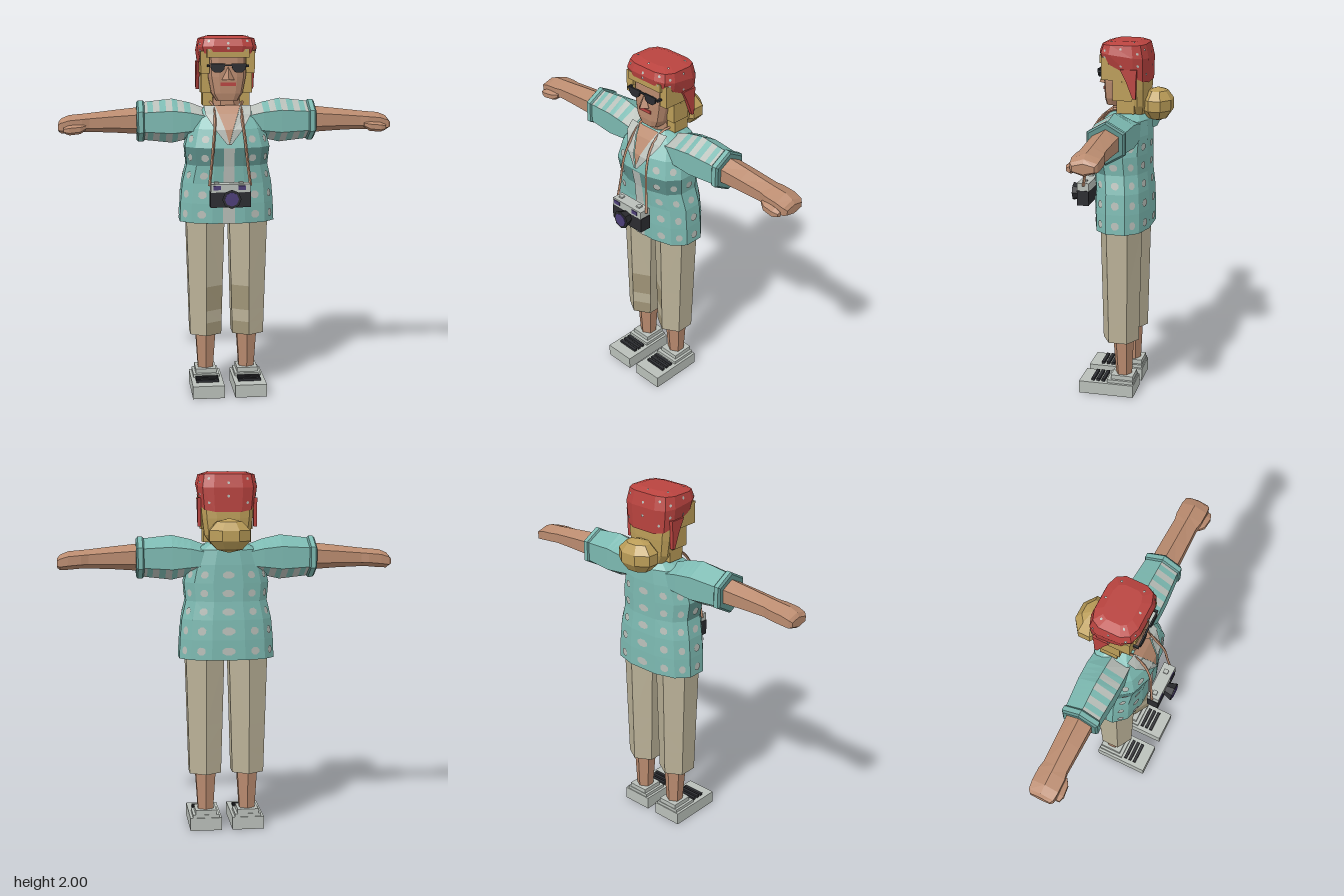
import * as THREE from 'three';

const hex = { teal: 0x7cb9b1, darkTeal: 0x5f928d, paleGrey: 0xb9bfb9, beige: 0xbbb298, darkBeige: 0xa09578,
  skin: 0xba8b6f, red: 0xb9433f, blonde: 0xbb9d58, black: 0x2b2c30, purple: 0x4c3e78 };
const V = (x, y, z) => new THREE.Vector3(x, y, z);

export function createModel() {
  const model = new THREE.Group();
  const mats = {};
  for (const k in hex) { mats[k] = new THREE.MeshStandardMaterial({ color: hex[k] }); mats[k].name = k; }

  // ---- helpers ----
  const add = (name, geo, color) => {
    const g = geo.index ? geo.toNonIndexed() : geo;
    g.computeVertexNormals();
    const m = new THREE.Mesh(g, mats[color]);
    m.name = name;
    model.add(m);
    return m;
  };
  const soup = (name, tris, color) => add(name, new THREE.BufferGeometry().setFromPoints(tris.flat()), color);
  const box = (name, color, x0, x1, y0, y1, z0, z1) => add(name, new THREE.BoxGeometry(Math.abs(x1 - x0), y1 - y0, z1 - z0)
    .translate((x0 + x1) / 2, (y0 + y1) / 2, (z0 + z1) / 2), color);

  // Closed skin over rings of points; pick(i, j) chooses the colour of each face
  const loft = (name, rings, color, pick = () => color) => {
    const parts = {}, n = rings[0].length;
    const put = (c, a, b, d) => (parts[c] ??= []).push([a, b, d]);
    for (let i = 0; i + 1 < rings.length; i++) for (let j = 0; j < n; j++) {
      const k = (j + 1) % n, [p, q] = [rings[i], rings[i + 1]], c = pick(i, j);
      put(c, p[j], q[j], q[k]);
      put(c, p[j], q[k], p[k]);
    }
    const a = rings[0], b = rings.at(-1);
    for (let j = 1; j + 1 < n; j++) { put(color, a[0], a[j], a[j + 1]); put(color, b[0], b[j + 1], b[j]); }
    const o = centre(a);
    let vol = 0;
    for (const t of Object.values(parts).flat()) {
      const [p, q, r] = t.map(v => v.clone().sub(o));
      vol += p.dot(q.cross(r));
    }
    for (const c in parts) soup(name, vol < 0 ? parts[c].map(t => [t[0], t[2], t[1]]) : parts[c], c);
    return rings;
  };
  const centre = r => r.reduce((s, v) => s.add(v), V(0, 0, 0)).divideScalar(r.length);
  const fan = (pts, out) => {
    const nrm = pts[1].clone().sub(pts[0]).cross(pts[2].clone().sub(pts[0]));
    if (nrm.dot(out) < 0) pts = [...pts].reverse();
    return pts.slice(2).map((p, i) => [pts[0], pts[i + 1], p]);
  };
  // Thin painted patch lying on face column u of band i of a loft
  const patch = (rings, i, u, v, du, dv, n = 8) => {
    const at = (u, v) => {
      const j = Math.floor(u), f = u - j, m = rings[i].length;
      const e = r => r[j % m].clone().lerp(r[(j + 1) % m], f);
      return e(rings[i]).lerp(e(rings[i + 1]), v);
    };
    const nrm = at(u + 0.1, v).sub(at(u, v)).cross(at(u, v + 0.1).sub(at(u, v))).normalize();
    const mid = centre(rings[i]).add(centre(rings[i + 1])).divideScalar(2);
    if (nrm.dot(at(u, v).sub(mid)) < 0) nrm.negate();
    const pts = Array.from({ length: n }, (_, k) => {
      const a = (k + 0.5) / n * Math.PI * 2, s = 1 / Math.cos(Math.PI / n);
      return at(u + du * s * Math.cos(a), v + dv * s * Math.sin(a)).addScaledVector(nrm, 0.005);
    });
    return fan(pts, nrm);
  };
  const pw = (t, e) => Math.sign(t) * Math.abs(t) ** e;
  // Rounded horizontal ring; [y, half width, front z, back z]
  const flatRing = ([y, rx, zf, zb], e = 0.8, n = 12, tilt = 0) => Array.from({ length: n }, (_, k) => {
    const a = (k + 0.5) / n * Math.PI * 2, z = (zf + zb) / 2 + (zf - zb) / 2 * 1.02 * pw(Math.sin(a), e);
    return V(rx * 1.02 * pw(Math.cos(a), e), y + tilt * (z - zf), z);
  });
  // Six-sided rings for legs (corners front and back) and arms (corners up and down)
  const legRing = (s, [y, cx, rx, zf, zb]) => Array.from({ length: 6 }, (_, k) => {
    const a = Math.PI / 2 + k * Math.PI / 3;
    return V(s * (cx + rx * Math.cos(a) / 0.866), y, (zf + zb) / 2 + (zf - zb) / 2 * Math.sin(a));
  });
  const armRing = (s, [x, cy, ry, rz, cz = -0.025]) => Array.from({ length: 6 }, (_, k) => {
    const a = Math.PI / 2 + k * Math.PI / 3;
    return V(s * x, cy + ry * Math.sin(a), cz + rz * Math.cos(a) / 0.866);
  });

  // ---- shirt ----
  const shirt = loft('shirt', [[0.98, 0.265, 0.135, -0.17], [1.09, 0.26, 0.138, -0.17], [1.2, 0.25, 0.135, -0.165],
    [1.3, 0.226, 0.145, -0.155], [1.4, 0.236, 0.165, -0.155], [1.5, 0.21, 0.14, -0.155], [1.58, 0.17, 0.09, -0.15],
    [1.62, 0.1, 0.05, -0.12]].map(r => flatRing(r)), 'teal', (i, j) => i === 3 && j < 6 ? 'darkTeal' : 'teal');
  const spots = [], placket = [];
  for (let i = 0; i < 5; i++) {
    if (i < 4) placket.push(...patch(shirt, i, 2.5, 0.5, 0.18, 0.5, 4));
    for (let j = 0; j < 12; j++) if (j !== 2) spots.push(...patch(shirt, i, j + 0.5, 0.45, 0.2, 0.19));
  }
  soup('shirtSpots', spots, 'paleGrey');
  soup('placket', placket, 'paleGrey');

  // Open neck and lapels: [y, z, inner half width, outer half width]
  const lapel = [[1.42, 0.163, 0, 0.012], [1.5, 0.15, 0.022, 0.075], [1.58, 0.102, 0.052, 0.125], [1.625, 0.06, 0.07, 0.13]];
  const chest = [], lapels = [];
  for (let i = 0; i < 3; i++) {
    const [[y0, z0, a0, b0], [y1, z1, a1, b1]] = [lapel[i], lapel[i + 1]], f = V(0, 0, 1);
    chest.push(...fan([V(-a1, y1, z1 + 0.006), V(-a0, y0, z0 + 0.006), V(a0 + 1e-4, y0, z0 + 0.006), V(a1, y1, z1 + 0.006)], f));
    for (const s of [-1, 1]) lapels.push(...fan([V(s * a0, y0, z0 + 0.01), V(s * b0, y0, z0 + 0.008),
      V(s * b1, y1, z1 + 0.003), V(s * a1, y1, z1 + 0.012)], f));
  }
  soup('chest', chest, 'skin');
  soup('lapels', lapels, 'paleGrey');
  loft('collar', [[1.58, 0.125, 0.04, -0.14], [1.635, 0.09, 0.03, -0.12]].map(r => flatRing(r)), 'paleGrey');

  // ---- head ----
  loft('neck', [[1.5, 0.085, 0.05, -0.11], [1.7, 0.075, 0.05, -0.1]].map(r => flatRing(r, 0.8, 8)), 'skin');
  loft('head', [[1.65, 0.06, 0.085, -0.05], [1.69, 0.085, 0.092, -0.08], [1.78, 0.103, 0.094, -0.1],
    [1.93, 0.108, 0.094, -0.11]].map(r => flatRing(r, 0.55)), 'skin');
  add('nose', new THREE.ConeGeometry(0.034, 0.07, 4).translate(0, 1.8, 0.1), 'skin');
  box('lips', 'red', -0.042, 0.042, 1.732, 1.75, 0.09, 0.099);
  loft('hair', [[1.61, 0.09, -0.03, -0.13], [1.66, 0.125, 0, -0.145], [1.75, 0.138, 0.015, -0.15],
    [1.92, 0.15, 0.04, -0.15]].map(r => flatRing(r, 0.6)), 'blonde');
  box('fringe', 'blonde', -0.115, 0.115, 1.885, 1.93, 0.06, 0.102);
  const bun = new THREE.SphereGeometry(1, 8, 5).rotateY(Math.PI / 8).scale(0.125, 0.092, 0.09).translate(0, 1.66, -0.193);
  add('bun', bun, 'blonde');

  // Headscarf sloping down to the back, with dots
  const scarf = loft('headscarf', [flatRing([1.915, 0.15, 0.105, -0.155], 0.55, 12, 0.5), flatRing([1.945, 0.163, 0.11, -0.157], 0.55, 12, 0.12),
    flatRing([1.985, 0.15, 0.095, -0.14], 0.55), flatRing([2, 0.1, 0.05, -0.1], 0.55), flatRing([2, 0.03, 0, -0.05], 0.55)], 'red');
  const dots = [];
  for (let i = 0; i < 4; i++) for (let j = 0; j < 12; j++) {
    if (i > 1 && (i + j) % 2) continue;
    const u = j + 0.5, v = (i + j) % 2 ? 0.35 : 0.65, m = new THREE.Vector3();
    const w = m.subVectors(scarf[i][j], scarf[i][(j + 1) % 12]).length();
    const h = m.subVectors(scarf[i][j], scarf[i + 1][j]).length();
    dots.push(...patch(scarf, i, u, v, Math.min(0.3, 0.007 / w), Math.min(0.3, 0.007 / h), 6)
      .map(t => t.map(p => V(p.x, Math.min(p.y, 2.003), p.z))));
  }
  soup('headscarfDots', dots, 'paleGrey');

  for (const s of [-1, 1]) {
    // Side locks, scarf tails and sunglasses
    box('lock', 'blonde', s * 0.1, s * 0.147, 1.8, 1.92, -0.05, 0.085);
    box('lock', 'blonde', s * 0.09, s * 0.14, 1.69, 1.82, -0.08, 0.025);
    box('lock', 'blonde', s * 0.075, s * 0.13, 1.62, 1.7, -0.09, 0.005);
    loft('scarfTail', [[1.86, -0.02, -0.11], [1.79, -0.055, -0.105], [1.705, -0.088, -0.104]].map(([y, a, b]) =>
      [V(s * 0.143, y, a), V(s * 0.162, y, a), V(s * 0.162, y, b), V(s * 0.143, y, b)]), 'red');
    const lens = [[0.017, 1.852], [0.098, 1.852], [0.094, 1.822], [0.075, 1.806], [0.04, 1.806], [0.023, 1.822]];
    loft('sunglassLens', [0.108, 0.117].map(z => lens.map(([x, y]) => V(s * x, y, z))), 'black');
    box('sunglassTemple', 'black', s * 0.1, s * 0.112, 1.834, 1.846, -0.01, 0.114);

    // Sleeve with striped faces, and its cuff
    const key = [[0.12, 1.53, 0.075, 0.1], [0.2, 1.535, 0.1, 0.105], [0.3, 1.535, 0.122, 0.103], [0.46, 1.535, 0.104, 0.092]];
    const xs = [0.12, 0.2, 0.235, 0.27, 0.3, 0.335, 0.37, 0.405, 0.435, 0.46];
    const sleeve = xs.map(x => {
      const i = Math.min(2, key.findLastIndex(k => k[0] <= x)), t = (x - key[i][0]) / (key[i + 1][0] - key[i][0]);
      return armRing(s, key[i].map((a, n) => a + (key[i + 1][n] - a) * t));
    });
    loft('sleeve', sleeve, 'teal', (i, j) => [2, 3, 5].includes(j) && i % 2 === 0 ? 'paleGrey' : 'teal');
    loft('sleeveCuff', [[0.45, 1.535, 0.104, 0.09], [0.46, 1.535, 0.114, 0.1], [0.485, 1.535, 0.114, 0.1],
      [0.495, 1.535, 0.103, 0.09]].map(r => armRing(s, r)), 'darkTeal', i => i === 1 ? 'teal' : 'darkTeal');

    // Forearm, hand and thumb
    loft('arm', [[0.47, 1.538, 0.075, 0.07], [0.62, 1.535, 0.062, 0.067], [0.75, 1.53, 0.052, 0.064], [0.79, 1.528, 0.05, 0.072],
      [0.86, 1.522, 0.05, 0.073], [0.905, 1.512, 0.042, 0.068], [0.92, 1.508, 0.026, 0.055]].map(r => armRing(s, r)), 'skin');
    loft('thumb', [[0.77, 1.51, 0.015, 0.015, 0.035], [0.8, 1.5, 0.026, 0.024, 0.045], [0.86, 1.495, 0.027, 0.025, 0.05],
      [0.89, 1.495, 0.015, 0.015, 0.05]].map(r => armRing(s, r)), 'skin');

    // Trouser leg with darker knee patch and hem on the inner front
    const y = [1.1, 0.98, 0.61, 0.47, 0.4, 0.325];
    loft('trouserLeg', y.map(v => {
      const t = (v - 0.325) / 0.655;
      return legRing(s, [v, 0.12, 0.088 + 0.018 * t, 0.085 + 0.015 * t, -0.12 - 0.015 * t]);
    }), 'beige', (i, j) => (i === 2 || i === 4) && j === 0 ? 'darkBeige' : 'beige');
    loft('shin', [[0.36, 0.118, 0.058, 0.032, -0.092], [0.1, 0.118, 0.042, 0.012, -0.08]].map(r => legRing(s, r)), 'skin');

    // Shoe
    box('shoe', 'paleGrey', s * 0.03, s * 0.208, 0, 0.072, -0.105, 0.21);
    box('shoeUpper', 'paleGrey', s * 0.045, s * 0.193, 0.07, 0.09, -0.1, 0.05);
    box('shoeCollar', 'paleGrey', s * 0.06, s * 0.178, 0.085, 0.115, -0.097, 0.03);
    for (const z of [0.065, 0.095, 0.125]) box('lace', 'black', s * 0.055, s * 0.183, 0.07, 0.086, z, z + 0.018);
  }
  // The knee and hem patches sit on the face beside the front corner
  box('sunglassBridge', 'black', -0.02, 0.02, 1.84, 1.848, 0.106, 0.115);

  // ---- camera on a neck strap ----
  box('cameraBody', 'black', -0.11, 0.11, 1.088, 1.172, 0.172, 0.238);
  box('cameraTop', 'paleGrey', -0.107, 0.107, 1.17, 1.215, 0.17, 0.238);
  for (const x of [-0.075, 0.06]) {
    box('cameraWindow', 'purple', x - 0.02, x + 0.02, 1.184, 1.206, 0.236, 0.242);
    box('cameraKnob', 'paleGrey', x - 0.012, x + 0.012, 1.213, 1.223, 0.19, 0.215);
  }
  add('cameraLens', new THREE.CylinderGeometry(0.052, 0.036, 0.05, 8).rotateX(Math.PI / 2).translate(0, 1.14, 0.259), 'black');
  add('cameraGlass', new THREE.CylinderGeometry(0.038, 0.038, 0.006, 8).rotateX(Math.PI / 2).translate(0, 1.14, 0.285), 'purple');
  const half = [[0.112, 1.2, 0.2], [0.1, 1.3, 0.188], [0.085, 1.45, 0.172], [0.074, 1.55, 0.13], [0.076, 1.622, 0.06], [0.09, 1.645, -0.05]];
  const path = [...half.map(p => V(...p)), V(0, 1.645, -0.13), ...half.map(([x, y, z]) => V(-x, y, z)).reverse()];
  add('cameraStrap', new THREE.TubeGeometry(new THREE.CatmullRomCurve3(path), 40, 0.008, 4), 'skin');

  return model;
}
